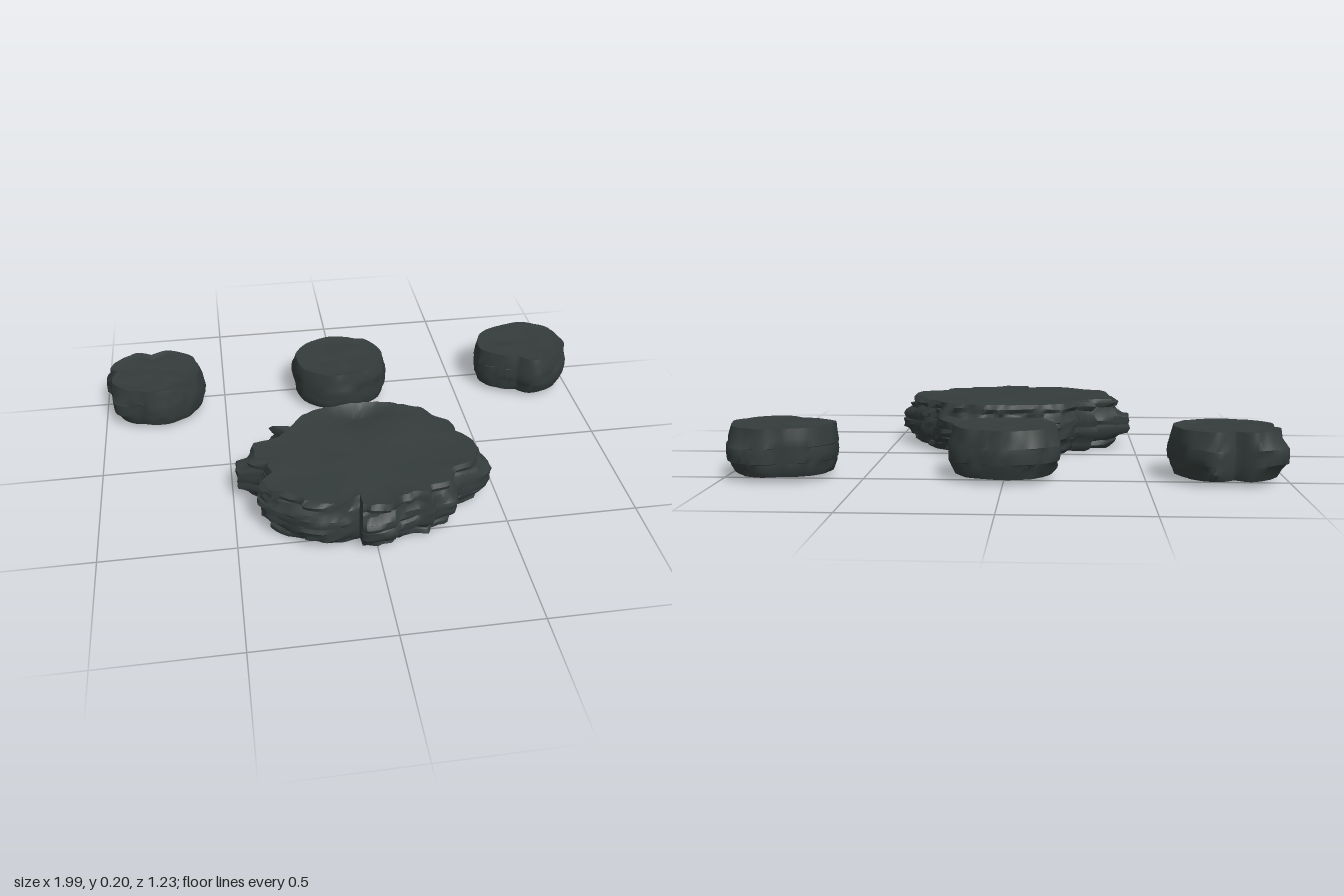
import * as THREE from 'three';
import { toCreasedNormals } from 'three/addons/utils/BufferGeometryUtils.js';

// Repeatable pseudo-random value for a pair of cell numbers
const hash = (a, b) => {
  const s = Math.sin(a * 127.1 + b * 311.7) * 43758.5453;
  return s - Math.floor(s);
};

// Smooth noise around the rim: k lumps per turn
function rimNoise(u, k, seed) {
  const f = u * k, i = Math.floor(f), t = f - i, s = t * t * (3 - 2 * t);
  return hash(i % k, seed) * (1 - s) + hash((i + 1) % k, seed) * s;
}

// Radius of a closed outline (pairs of x, z) as a function of the angle
function outlineRadius(points, cx, cz) {
  const polar = [];
  for (let i = 0; i < points.length; i += 2) {
    const x = points[i] - cx, z = points[i + 1] - cz;
    polar.push([(Math.atan2(z, x) + 2 * Math.PI) % (2 * Math.PI), Math.hypot(x, z)]);
  }
  polar.sort((p, q) => p[0] - q[0]);
  const first = polar[0], last = polar[polar.length - 1];
  polar.unshift([last[0] - 2 * Math.PI, last[1]]);
  polar.push([first[0] + 2 * Math.PI, first[1]]);
  return (a) => {
    let i = 1;
    while (i < polar.length - 1 && polar[i][0] < a) i++;
    const [a0, r0] = polar[i - 1], [a1, r1] = polar[i];
    return r0 + (r1 - r0) * (a - a0) / Math.max(a1 - a0, 1e-6);
  };
}

// Hollow slab of rock: chipped layers around the side, a worn top, open below
function rockGeometry(o) {
  const { cx, cz, y0, y1, layers, seed, chip, cap, sides, blocks } = o;
  const radius = outlineRadius(o.outline, cx, cz);
  const rows = [], count = layers.length - 1;

  // Each layer has three rows; neighbouring layers meet in small ledges
  for (let l = 0; l < count; l++) {
    for (const s of [0.02, 0.5, 0.98]) {
      const t = layers[l] + (layers[l + 1] - layers[l]) * s;
      const row = [];
      for (let i = 0; i < sides; i++) {
        const u = i / sides, a = u * 2 * Math.PI;
        const bulge = o.ends[t < 0.5 ? 0 : 1];
        const e = Math.abs(2 * t - 1);
        const scale = 1 - (1 - bulge) * e * e * e;
        const limit = 1 / Math.hypot(Math.cos(a) / cap[0], Math.sin(a) / cap[1]);
        const reach = radius(a);
        const r = e > 0.45 ? Math.min(reach, limit) : reach;
        const cell = Math.floor((u * blocks + hash(l, seed)) % blocks);
        const inset = chip * (0.55 * hash(cell, seed + l * 7) + 0.6 * rimNoise(u, blocks * 2, seed + l * 3 + s)
          + (s === 0.5 ? 0 : 0.25));
        const rr = r * scale * (1 - (e < 0.4 ? 0.5 : 1) * inset);
        const wave = (l === 0 && s < 0.1) || (l === count - 1 && s > 0.9) ? 0
          : (rimNoise(u, blocks, seed + l + 50) - 0.5) * 0.012;
        const yt = l === 0 && s < 0.1 ? 0 : l === count - 1 && s > 0.9 ? 1 : t;
        row.push([cx + rr * Math.cos(a), y0 + (y1 - y0) * yt + wave, cz + rr * Math.sin(a)]);
      }
      rows.push(row);
    }
  }

  // Worn top, running in to the middle
  const rim = rows[rows.length - 1];
  [0.93, 0.8, 0.6, 0.35, 0].forEach((f, k) => {
    rows.push(rim.map(([x, , z], i) => {
      const px = cx + (x - cx) * f, pz = cz + (z - cz) * f;
      let dip = f > 0.1 ? 0.012 * rimNoise(i / sides, 9, seed + 90 + k) * (f < 0.9 ? 1 : 0.4) : 0.006;
      if (o.dent) dip += 0.03 * Math.exp(-(((px - o.dent[0]) / 0.1) ** 2 + ((pz - o.dent[1]) / 0.05) ** 2));
      return [px, y1 - dip, pz];
    }));
  });

  const pos = [];
  for (let j = 0; j < rows.length - 1; j++) {
    for (let i = 0; i < sides; i++) {
      const n = (i + 1) % sides;
      const a = rows[j][i], b = rows[j][n], c = rows[j + 1][i], d = rows[j + 1][n];
      pos.push(...a, ...c, ...b);
      if (j < rows.length - 2) pos.push(...b, ...c, ...d);
    }
  }
  const g = new THREE.BufferGeometry();
  g.setAttribute('position', new THREE.Float32BufferAttribute(pos, 3));
  return toCreasedNormals(g, 0.7);
}

export function createModel() {
  const group = new THREE.Group();
  const stone = new THREE.MeshStandardMaterial({ color: 0x343c3b, side: THREE.DoubleSide });
  stone.name = 'dark stone';

  const add = (name, options) => {
    const mesh = new THREE.Mesh(rockGeometry(options), stone);
    mesh.name = name;
    group.add(mesh);
  };

  // Wide slab in front
  add('largeRockSlab', {
    cx: 0, cz: 0.26, y0: 0, y1: 0.205, seed: 3, chip: 0.09, sides: 144, blocks: 26,
    layers: [0, 0.16, 0.32, 0.5, 0.66, 0.83, 1], ends: [0.9, 0.97], cap: [0.47, 0.35], dent: [0.02, 0],
    outline: [
      0.49, 0.31, 0.46, 0.37, 0.37, 0.41, 0.33, 0.43, 0.3, 0.52, 0.23, 0.53, 0.21, 0.56, 0.16, 0.55,
      0.08, 0.58, 0.06, 0.61, -0.06, 0.62, -0.065, 0.55, -0.2, 0.58, -0.28, 0.55, -0.35, 0.5, -0.41, 0.43,
      -0.43, 0.38, -0.39, 0.35, -0.42, 0.27, -0.49, 0.24, -0.5, 0.15, -0.41, 0.13, -0.36, 0.12, -0.3, 0.08,
      -0.38, 0.03, -0.27, 0.05, -0.26, 0, -0.19, -0.09, -0.1, -0.11, 0, -0.09, 0.1, -0.11, 0.16, -0.08,
      0.24, -0.07, 0.28, -0.03, 0.32, 0.05, 0.38, 0.1, 0.39, 0.15, 0.43, 0.19, 0.47, 0.26],
  });

  // Three small rocks in a row behind
  const small = {
    cz: -0.44, y0: 0.02, y1: 0.192, chip: 0.07, sides: 80, blocks: 13,
    layers: [0, 0.3, 0.62, 1], ends: [0.92, 0.97], cap: [0.205, 0.18],
  };
  add('rightSmallRock', {
    ...small, cx: -0.785, seed: 11,
    outline: [
      -0.57, -0.435, -0.6, -0.355, -0.66, -0.3, -0.76, -0.26, -0.85, -0.28, -0.95, -0.31, -0.97, -0.4,
      -0.95, -0.45, -1, -0.495, -0.985, -0.55, -0.88, -0.61, -0.8, -0.575, -0.7, -0.615, -0.62, -0.55, -0.59, -0.48],
  });
  add('middleSmallRock', {
    ...small, cx: 0, seed: 23,
    outline: [
      0.205, -0.44, 0.18, -0.355, 0.085, -0.29, -0.02, -0.27, -0.12, -0.3, -0.17, -0.345, -0.2, -0.45,
      -0.2, -0.53, -0.12, -0.6, 0, -0.62, 0.085, -0.59, 0.155, -0.56, 0.2, -0.505],
  });
  add('leftSmallRock', {
    ...small, cx: 0.8, seed: 37,
    outline: [
      1, -0.45, 0.99, -0.355, 0.915, -0.29, 0.835, -0.255, 0.755, -0.31, 0.665, -0.345, 0.6, -0.4,
      0.605, -0.495, 0.665, -0.57, 0.78, -0.605, 0.835, -0.62, 0.94, -0.595, 0.99, -0.515],
  });
  return group;
}
